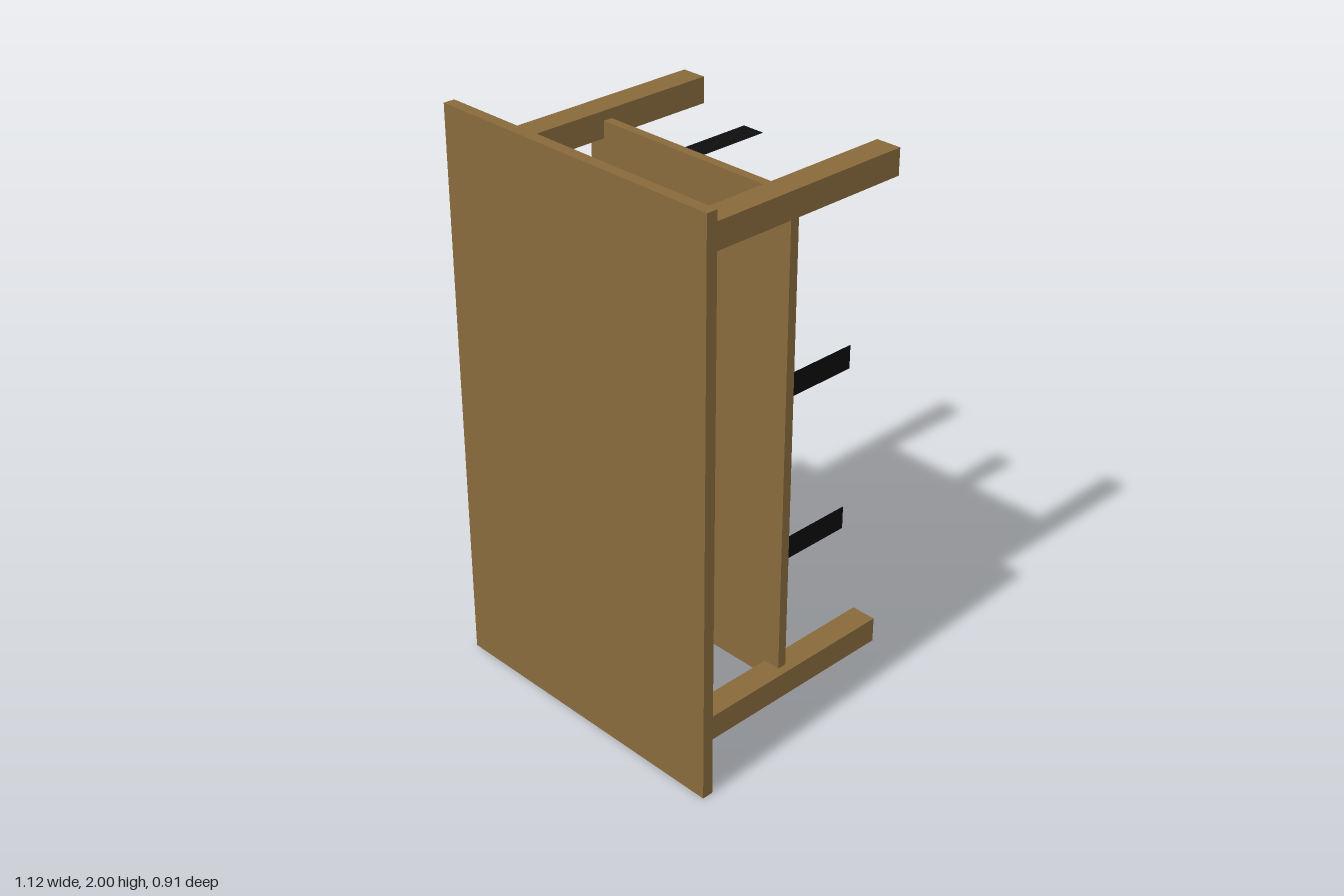
import * as THREE from 'three';

export function createModel() {
  const model = new THREE.Group();
  model.name = 'tableOnItsSide';

  const wood = new THREE.MeshStandardMaterial({ color: 0x886a3b });
  wood.name = 'brown wood';
  const black = new THREE.MeshStandardMaterial({ color: 0x0d0d0d, side: THREE.DoubleSide });
  black.name = 'black strap';

  const MID = 1; // height of the table's centre line

  function board(name, w, h, d, x, y, z) {
    const mesh = new THREE.Mesh(new THREE.BoxGeometry(w, h, d), wood);
    mesh.name = name;
    mesh.position.set(x, y, z);
    model.add(mesh);
  }

  // Tabletop standing upright, with the apron block behind it
  board('tabletop', 1.124, 2, 0.04, 0, MID, 0.432);
  board('apron', 0.82, 1.7, 0.102, 0, MID, 0.361);

  // Lower shelf, its corners set into the legs
  board('shelf', 0.864, 1.736, 0.033, 0, MID, -0.0345);

  // Four legs pointing backwards
  for (const sx of [-1, 1]) {
    for (const sy of [-1, 1]) {
      board('leg', 0.091, 0.091, 0.866, sx * 0.4165, MID + sy * 0.8555, -0.021);
    }
  }

  // Thin straps reaching back from the shelf edges
  function strap(name, x, y) {
    const mesh = new THREE.Mesh(new THREE.PlaneGeometry(0.253, 0.083), black);
    mesh.name = name;
    mesh.position.set(x, y, -0.1775);
    mesh.rotation.y = Math.PI / 2;
    model.add(mesh);
    return mesh;
  }
  for (const y of [0.65, 1.24]) strap('sideStrap', 0.432, y);
  for (const sy of [-1, 1]) {
    strap('endStrap', 0, MID + sy * 0.868).rotation.set(0, Math.PI / 2, Math.PI / 2, 'ZYX');
  }

  return model;
}
